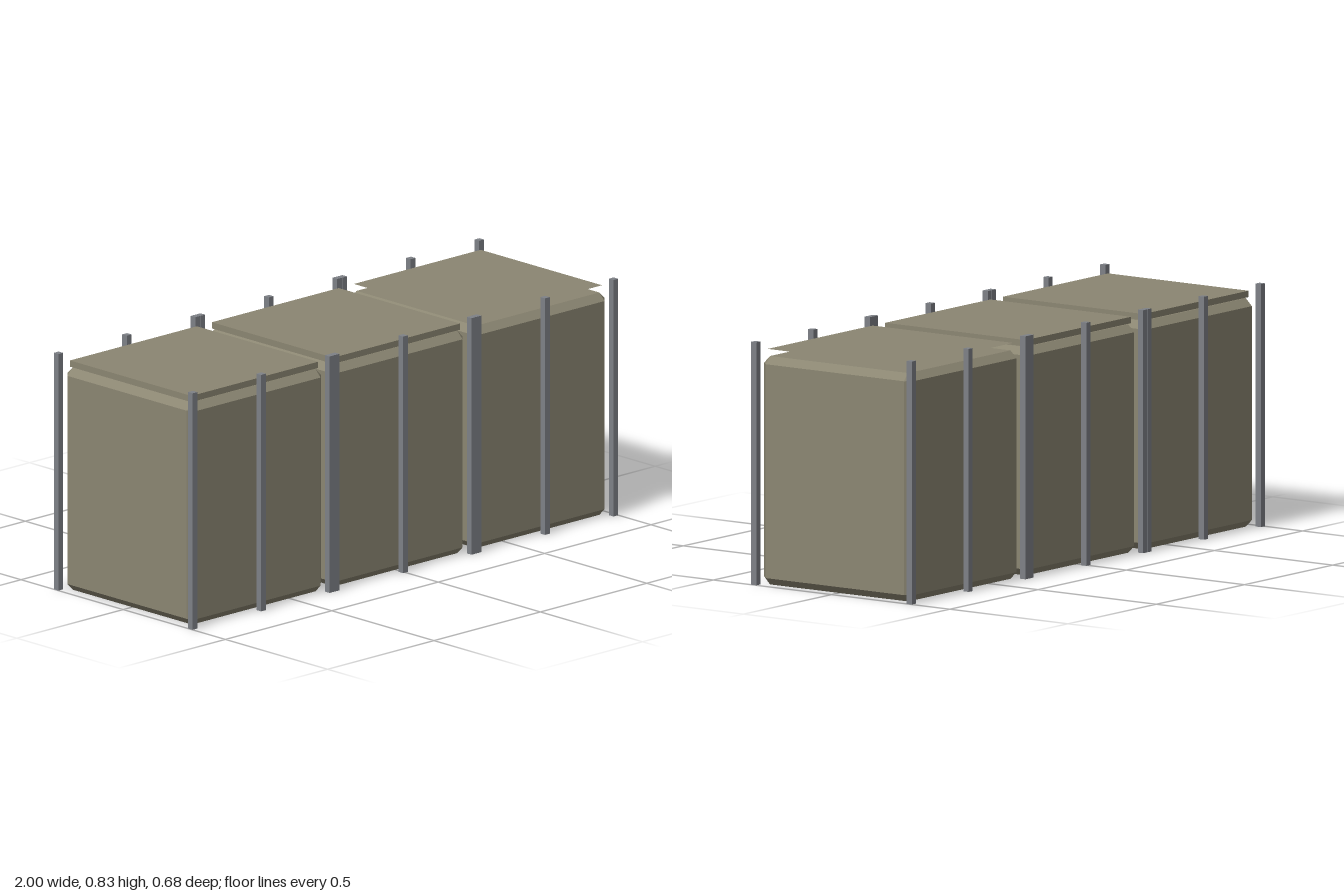
import * as THREE from 'three';
import { ConvexGeometry } from 'three/addons/geometries/ConvexGeometry.js';

const olive = new THREE.MeshStandardMaterial({ color: 0x8b8672 });
olive.name = 'olive';
const steel = new THREE.MeshStandardMaterial({ color: 0x7e8187 });
steel.name = 'steel grey';

// Box with every edge chamfered by c
function chamferedBox(w, h, d, c) {
  const points = [];
  for (const sx of [-1, 1]) for (const sy of [-1, 1]) for (const sz of [-1, 1]) {
    for (let axis = 0; axis < 3; axis++) {
      const half = [w / 2 - c, h / 2 - c, d / 2 - c];
      half[axis] += c;
      points.push(new THREE.Vector3(sx * half[0], sy * half[1], sz * half[2]));
    }
  }
  return new ConvexGeometry(points);
}

export function createModel() {
  const model = new THREE.Group();
  model.name = 'crateRow';

  function add(parent, name, geometry, material, x, y, z) {
    const mesh = new THREE.Mesh(geometry, material);
    mesh.name = name;
    mesh.position.set(x, y, z);
    parent.add(mesh);
    return mesh;
  }

  const spacing = 0.667;
  const crateGeometry = chamferedBox(0.63, 0.785, 0.634, 0.025);
  const lidGeometry = new THREE.BoxGeometry(0.596, 0.022, 0.594);
  const panelGeometry = new THREE.PlaneGeometry(0.596, 0.594);
  const postGeometry = new THREE.BoxGeometry(0.0225, 0.835, 0.0225);

  ['right', 'middle', 'left'].forEach((side, i) => {
    const unit = new THREE.Group();
    unit.name = side + 'Crate';
    unit.position.x = (i - 1) * spacing;
    model.add(unit);

    add(unit, 'body', crateGeometry, olive, 0, 0.3925, 0);

    // The left lid has open sides: only a top and a bottom panel
    if (side === 'left') {
      add(unit, 'lidTop', panelGeometry, olive, 0, 0.81, 0).rotation.x = -Math.PI / 2;
      add(unit, 'lidBottom', panelGeometry, olive, 0, 0.788, 0).rotation.x = Math.PI / 2;
    } else {
      add(unit, 'lid', lidGeometry, olive, 0, 0.799, 0);
    }

    // Posts at the corners and middle of the front and back
    for (const z of [-0.3285, 0.3285]) {
      for (const x of [-0.3217, 0, 0.3217]) {
        add(unit, x ? 'cornerPost' : 'middlePost', postGeometry, steel, x, 0.4175, z);
      }
    }
  });

  return model;
}
